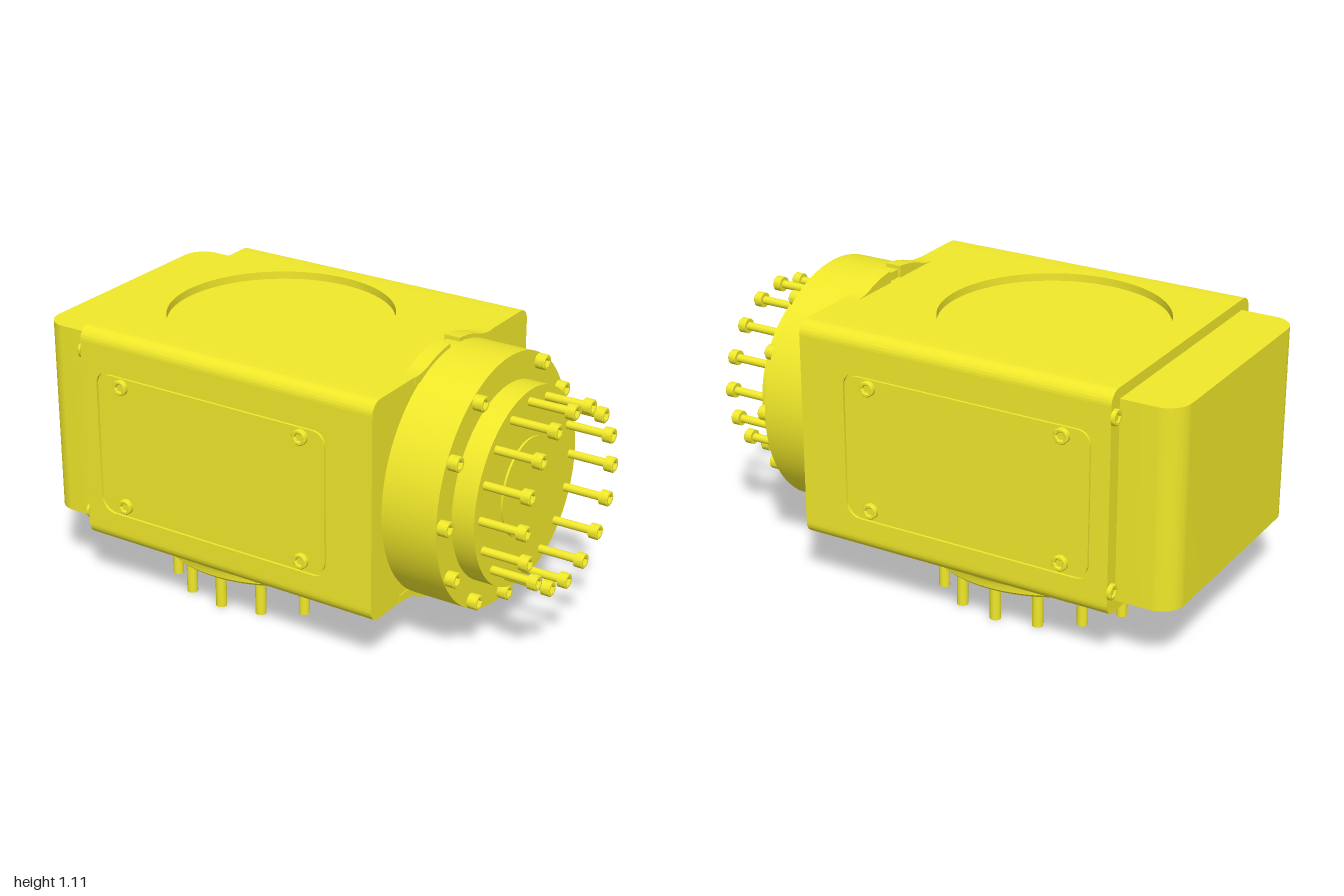
import * as THREE from 'three';
import { toCreasedNormals, mergeGeometries } from 'three/addons/utils/BufferGeometryUtils.js';

const material = new THREE.MeshStandardMaterial({ color: 0xf0e82a });
const AXIS_Y = 0.613;   // height of the output flange axis
const BASE_X = -0.25;   // x of the vertical base axis

function add(parent, name, geometry, x = 0, y = 0, z = 0) {
  const mesh = new THREE.Mesh(geometry, material);
  mesh.name = name;
  mesh.position.set(x, y, z);
  parent.add(mesh);
  return mesh;
}

function extrude(shape, depth, curveSegments = 16) {
  return toCreasedNormals(
    new THREE.ExtrudeGeometry(shape, { depth, bevelEnabled: false, curveSegments }), 0.6);
}

// Extrusion running along +x; the shape is drawn in (z, y)
const extrudeX = (shape, depth, segments) => extrude(shape, depth, segments).rotateY(Math.PI / 2);

// Disc along +x from x0 to x1
function discX(x0, x1, r) {
  return new THREE.CylinderGeometry(r, r, x1 - x0, 96).rotateZ(-Math.PI / 2).translate((x0 + x1) / 2, 0, 0);
}

function roundedRect(x0, y0, x1, y1, r) {
  const s = new THREE.Shape();
  s.absarc(x1 - r, y0 + r, r, -Math.PI / 2, 0);
  s.absarc(x1 - r, y1 - r, r, 0, Math.PI / 2);
  s.absarc(x0 + r, y1 - r, r, Math.PI / 2, Math.PI);
  s.absarc(x0 + r, y0 + r, r, Math.PI, Math.PI * 1.5);
  s.closePath();
  return s;
}

function rect(x0, y0, x1, y1) {
  return new THREE.Shape([[x0, y0], [x1, y0], [x1, y1], [x0, y1]].map(p => new THREE.Vector2(...p)));
}

// Screw head with hex socket, pointing along +z, with an optional shank behind it
function screw(r, h, shankR = 0, shankL = 0) {
  const s = new THREE.Shape().absarc(0, 0, r, 0, Math.PI * 2);
  const hex = [];
  for (let i = 0; i < 6; i++) {
    const a = -i * Math.PI / 3;
    hex.push(new THREE.Vector2(Math.cos(a) * r * 0.55, Math.sin(a) * r * 0.55));
  }
  s.holes.push(new THREE.Path(hex));
  const bev = r * 0.12;
  const rim = new THREE.ExtrudeGeometry(s, {
    depth: h * 0.6 - bev, curveSegments: 12, bevelSize: bev, bevelThickness: bev, bevelOffset: -bev, bevelSegments: 1,
  }).translate(0, 0, h * 0.4);
  const cyl = (rad, z0, z1) => new THREE.CylinderGeometry(rad, rad, z1 - z0, 20)
    .rotateX(Math.PI / 2).translate(0, 0, (z0 + z1) / 2).toNonIndexed();
  const parts = [toCreasedNormals(rim, 0.5), cyl(r, 0, h * 0.5)];
  if (shankL) parts.push(cyl(shankR, -shankL, 0));
  return mergeGeometries(parts);
}

// Housing: rounded section with shallow seats for the top plate and side frames
function buildHousing(group) {
  const x0 = -0.775, x1 = 0.5, b = 0.205, t = 1.06, w = 0.545, r = 0.05;
  const s = new THREE.Shape();
  s.absarc(w - r, b + r, r, -Math.PI / 2, 0);
  for (const p of [[w, 0.26], [w - 0.01, 0.26], [w - 0.01, 1], [w, 1]]) s.lineTo(...p);
  s.absarc(w - r, t - r, r, 0, Math.PI / 2);
  for (const p of [[0.44, t], [0.44, t - 0.03], [-0.44, t - 0.03], [-0.44, t]]) s.lineTo(...p);
  s.absarc(-w + r, t - r, r, Math.PI / 2, Math.PI);
  for (const p of [[-w, 1], [-w + 0.01, 1], [-w + 0.01, 0.26], [-w, 0.26]]) s.lineTo(...p);
  s.absarc(-w + r, b + r, r, Math.PI, Math.PI * 1.5);
  s.closePath();
  add(group, 'housing', extrudeX(s, x1 - x0), x0);

  // Top plate with the round recess
  const top = rect(x0, -0.44, x1, 0.44);
  top.holes.push(new THREE.Path().absarc(BASE_X, 0, 0.43, 0, Math.PI * 2));
  add(group, 'topPlate', extrude(top, 0.03, 64).rotateX(-Math.PI / 2), 0, t - 0.03);

  // Side frames with flush access covers and their screws
  for (const side of [1, -1]) {
    const frame = rect(x0, 0.26, x1, 1);
    frame.holes.push(roundedRect(-0.708, 0.33, 0.315, 0.91, 0.06));
    const z = side > 0 ? w - 0.01 : -w;
    add(group, 'sideFrame', extrude(frame, 0.01), 0, 0, z);
    add(group, 'accessCover', extrude(roundedRect(-0.696, 0.342, 0.303, 0.898, 0.05), 0.01), 0, 0, z);
    for (const x of [-0.59, 0.205]) for (const y of [0.378, 0.865]) {
      add(group, 'coverScrew', screw(0.03, 0.02), x, y, side * (w - 0.002)).rotation.y = side > 0 ? 0 : Math.PI;
    }
    for (const y of [0.303, 0.965]) {
      add(group, 'rearScrew', screw(0.03, 0.015), x0, y, side * 0.522).rotation.y = -Math.PI / 2;
    }
  }
}

// Rear cap with rounded upright edges
function buildRearCap(group) {
  const r = 0.09, w = 0.485, s = new THREE.Shape();
  s.moveTo(-0.77, -w);
  s.lineTo(-0.77, w);
  s.absarc(-1 + r, w - r, r, Math.PI / 2, Math.PI);
  s.absarc(-1 + r, -w + r, r, Math.PI, Math.PI * 1.5);
  s.closePath();
  add(group, 'rearCap', extrude(s, 0.768).rotateX(-Math.PI / 2), 0, 0.25);
}

// Half of a collar lug that rises out of the housing face at distance h from the axis
function lug(h, notch) {
  const r = 0.495, a = Math.acos((h + 0.018) / r), end = Math.asin(notch / r);
  const s = new THREE.Shape();
  s.moveTo(notch, h - 0.03);
  s.lineTo(r * Math.sin(a) + 0.1, h - 0.03);
  s.lineTo(r * Math.sin(a) + 0.1, h);
  s.quadraticCurveTo(r * Math.sin(a) + 0.04, h, r * Math.sin(a), r * Math.cos(a));
  s.absarc(0, 0, r, Math.PI / 2 - a, Math.PI / 2 - end);
  s.closePath();
  return s;
}

// Output flange along +x
function buildOutput(group) {
  const out = new THREE.Group();
  out.name = 'outputFlange';
  out.position.y = AXIS_Y;
  group.add(out);
  add(out, 'collar', discX(0.45, 0.722, 0.48));
  add(out, 'outputDisc', discX(0.72, 0.812, 0.375));
  add(out, 'centreBoss', discX(0.81, 0.82, 0.188));

  // Lugs: notched above, closed below
  for (const turn of [0, Math.PI]) {
    const top = lug(0.447, 0.033), bottom = lug(0.408, 0);
    const mirrorTurn = g => { g.rotateX(Math.PI); return g; };
    const flip = shape => new THREE.Shape(shape.getPoints(20).map(p => new THREE.Vector2(-p.x, p.y)));
    add(out, 'topLug', extrudeX(turn ? flip(top) : top, 0.063, 20), 0.44);
    add(out, 'bottomLug', mirrorTurn(extrudeX(turn ? flip(bottom) : bottom, 0.063, 20)), 0.44);
  }

  // Short heads on the collar (none at the top), long screws on the disc
  const ring = (name, count, radius, x, geometry, skipTop) => {
    for (let i = skipTop ? 1 : 0; i < count; i++) {
      const a = i * Math.PI * 2 / count;
      add(out, name, geometry, x, Math.cos(a) * radius, Math.sin(a) * radius).rotation.y = Math.PI / 2;
    }
  };
  ring('collarScrew', 12, 0.45, 0.72, screw(0.029, 0.04), true);
  ring('discScrew', 16, 0.332, 0.965, screw(0.029, 0.035, 0.016, 0.16), false);
}

// Base flange with flared neck and downward pins
function buildBase(group) {
  const profile = [[0, 0.143], [0.468, 0.143], [0.48, 0.155], [0.48, 0.18], [0.485, 0.193], [0.503, 0.208]]
    .map(p => new THREE.Vector2(...p));
  add(group, 'baseFlange', toCreasedNormals(new THREE.LatheGeometry(profile, 96), 0.7), BASE_X);
  const pin = new THREE.CylinderGeometry(0.021, 0.021, 0.15, 20);
  for (let i = 0; i < 16; i++) {
    const a = i * Math.PI / 8;
    add(group, 'basePin', pin, BASE_X + 0.42 * Math.cos(a), 0.075, 0.42 * Math.sin(a));
  }
}

export function createModel() {
  const group = new THREE.Group();
  group.name = 'wristJoint';
  buildHousing(group);
  buildRearCap(group);
  buildOutput(group);
  buildBase(group);
  return group;
}
